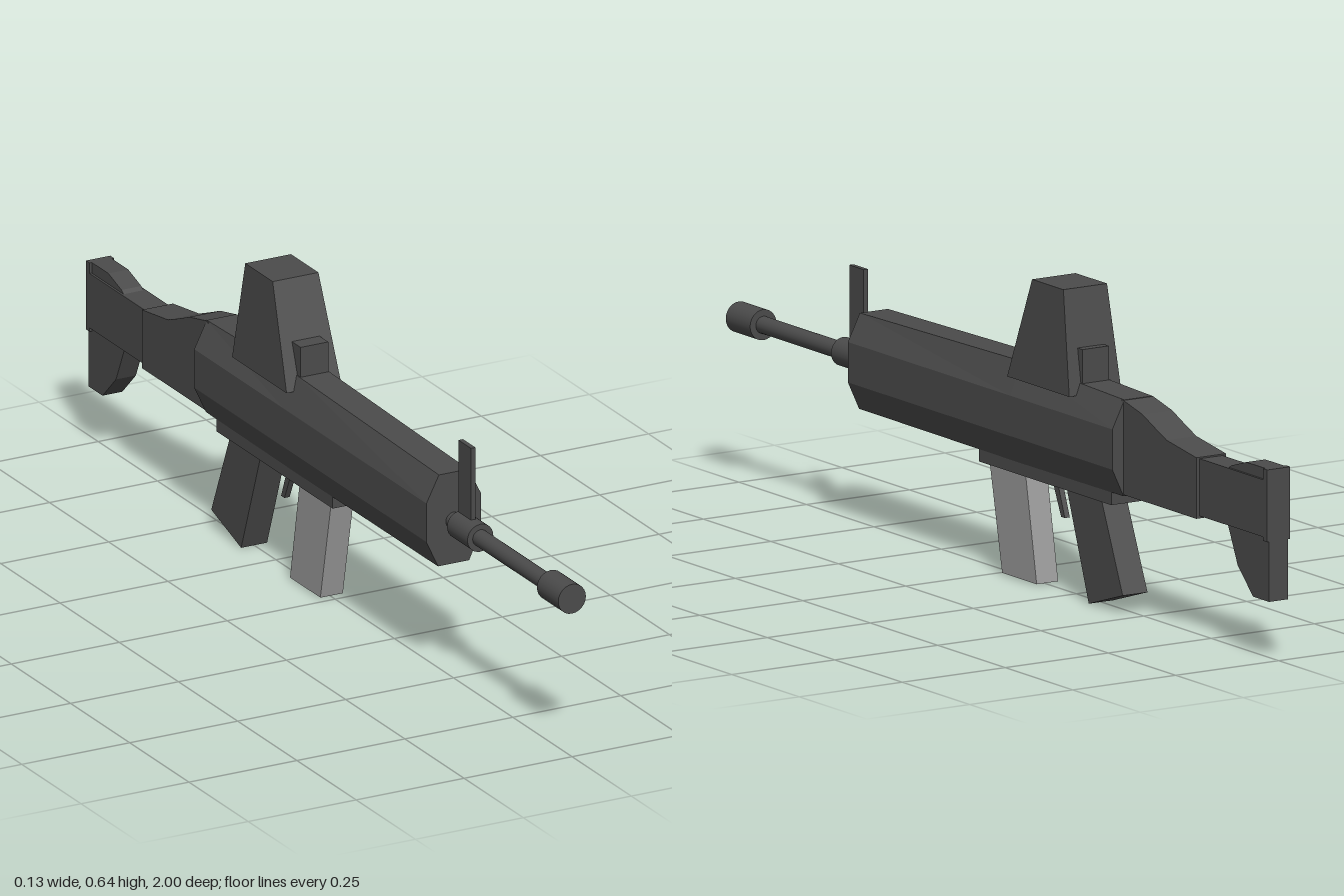
import * as THREE from 'three';

const dark = new THREE.MeshStandardMaterial({ color: 0x4b4b4b, flatShading: true });
const smoothDark = new THREE.MeshStandardMaterial({ color: 0x4b4b4b });
const light = new THREE.MeshStandardMaterial({ color: 0x9c9c9c, flatShading: true });

// Plate from a side outline of [z, y] points, centred on x = 0
function plate(name, points, halfWidth, material = dark) {
  const shape = new THREE.Shape(points.map(([z, y]) => new THREE.Vector2(z, y)));
  const geo = new THREE.ExtrudeGeometry(shape, { depth: 2 * halfWidth, bevelEnabled: false });
  geo.translate(0, 0, -halfWidth).rotateY(-Math.PI / 2);
  const mesh = new THREE.Mesh(geo, material);
  mesh.name = name;
  return mesh;
}

// Block given by its z and y limits
function block(name, z0, z1, y0, y1, halfWidth) {
  return plate(name, [[z0, y0], [z1, y0], [z1, y1], [z0, y1]], halfWidth);
}

// Round part lying along z on the bore axis
function tube(name, z0, z1, radius) {
  const geo = new THREE.CylinderGeometry(radius, radius, z1 - z0, 24);
  geo.rotateX(Math.PI / 2).translate(0, 0.344, (z0 + z1) / 2);
  const mesh = new THREE.Mesh(geo, smoothDark);
  mesh.name = name;
  return mesh;
}

// Eight-sided receiver, lofted along z with a slightly arched top
function receiver() {
  const sections = [[0.5, 0.449, 0.25], [-0.1, 0.46, 0.248], [-0.48, 0.45, 0.25]];
  const position = [], index = [];
  for (const [z, top, bottom] of sections) {
    const half = [[0.036, bottom], [0.063, 0.308], [0.063, 0.392], [0.034, top]];
    const ring = [...half, ...half.map(([x, y]) => [-x, y]).reverse()];
    for (const [x, y] of ring) position.push(x, y, z);
  }
  for (let s = 0; s < sections.length - 1; s++) {
    for (let i = 0; i < 8; i++) {
      const a = s * 8 + i, b = s * 8 + (i + 1) % 8;
      index.push(a, a + 8, b, b, a + 8, b + 8);
    }
  }
  const last = (sections.length - 1) * 8;
  for (let i = 1; i < 7; i++) {
    index.push(0, i, i + 1);
    index.push(last, last + i + 1, last + i);
  }
  const geo = new THREE.BufferGeometry();
  geo.setAttribute('position', new THREE.Float32BufferAttribute(position, 3));
  geo.setIndex(index);
  const flat = geo.toNonIndexed();
  flat.computeVertexNormals();
  const mesh = new THREE.Mesh(flat, dark);
  mesh.name = 'receiver';
  return mesh;
}

// Optic hood, narrowing in x towards its top
function opticHood() {
  const mesh = plate('opticHood', [[-0.09, 0.43], [-0.32, 0.43], [-0.283, 0.645], [-0.167, 0.645]], 0.063);
  const p = mesh.geometry.attributes.position;
  for (let i = 0; i < p.count; i++) {
    p.setX(i, p.getX(i) * (1 - 0.16 * (p.getY(i) - 0.43) / 0.215));
  }
  mesh.geometry.computeVertexNormals();
  return mesh;
}

export function createModel() {
  const group = new THREE.Group();
  group.name = 'rifle';

  // Barrel and front sight
  group.add(
    tube('barrel', 0.49, 0.93, 0.018),
    tube('muzzle', 0.91, 1, 0.032),
    tube('barrelCollar', 0.527, 0.613, 0.03),
    block('frontSight', 0.53, 0.583, 0.37, 0.53, 0.005),
  );

  // Receiver with lower rail and optic
  group.add(
    receiver(),
    block('lowerRail', -0.435, 0.055, 0.223, 0.255, 0.036),
    opticHood(),
    block('opticBlock', -0.322, -0.087, 0.44, 0.525, 0.032),
  );

  // Magazine, trigger and grip
  group.add(
    plate('magazine', [[0.033, 0.235], [-0.1, 0.235], [-0.143, 0.003], [-0.015, 0.003]], 0.026, light),
    plate('trigger', [[-0.165, 0.235], [-0.185, 0.235], [-0.217, 0.152], [-0.203, 0.152]], 0.006),
    plate('grip', [[-0.257, 0.235], [-0.385, 0.235], [-0.468, 0.04], [-0.342, 0]], 0.03),
  );

  // Stock neck sloping back from the receiver
  group.add(plate('stockNeck', [
    [-0.47, 0.253], [-0.75, 0.253], [-0.75, 0.38], [-0.64, 0.396],
    [-0.6, 0.412], [-0.55, 0.433], [-0.48, 0.449], [-0.47, 0.449],
  ], 0.036));

  // Butt: arm, raised comb and drooping toe
  group.add(
    block('stockArm', -1, -0.74, 0.258, 0.377, 0.028),
    plate('comb', [[-0.84, 0.37], [-1, 0.37], [-1, 0.4], [-0.915, 0.4], [-0.86, 0.383]], 0.023),
    plate('toe', [[-0.845, 0.262], [-1, 0.262], [-1, 0.125], [-0.94, 0.125], [-0.883, 0.18]], 0.023),
    block('buttPlate', -1, -0.985, 0.25, 0.4, 0.028),
  );
  return group;
}
